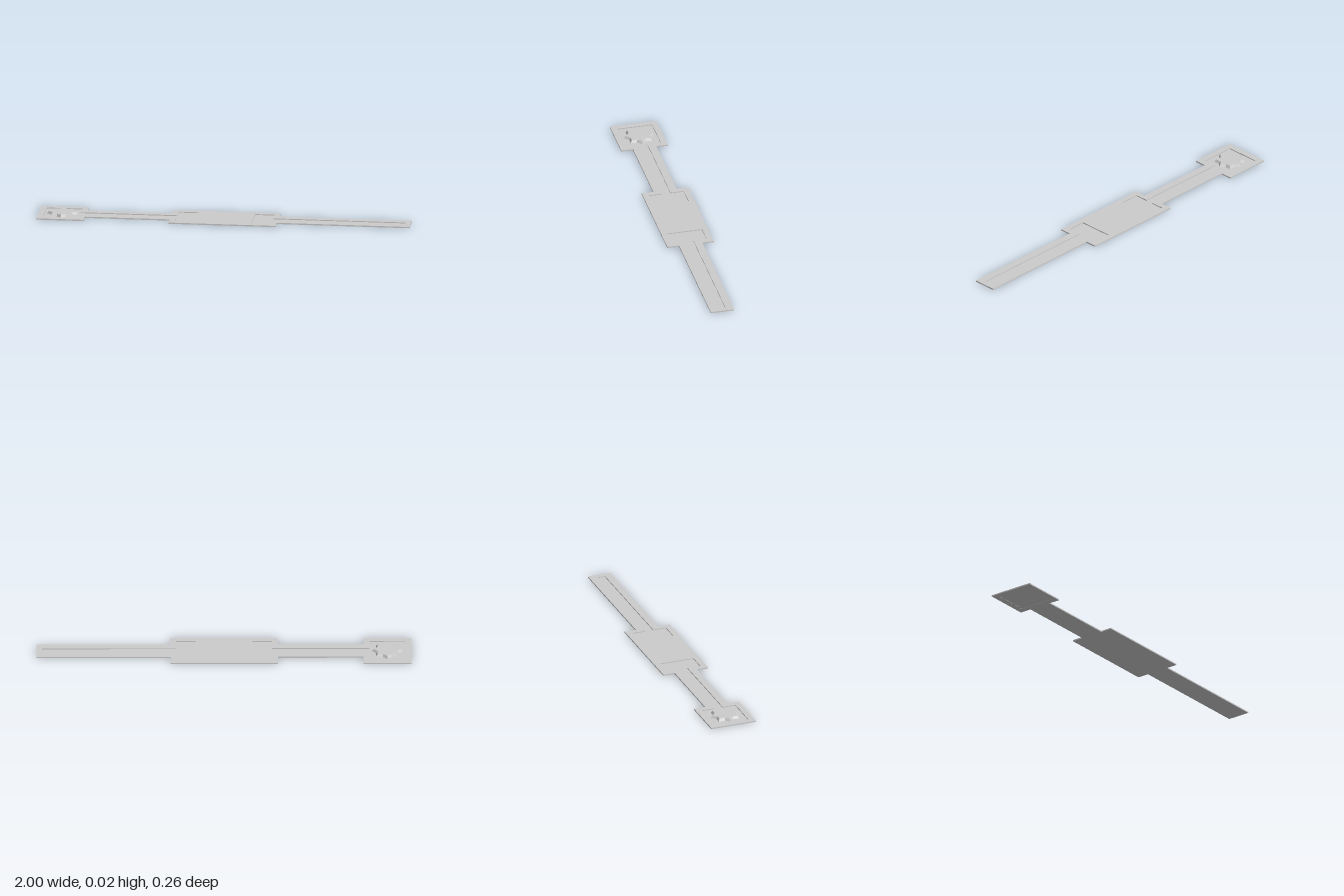
import * as THREE from 'three';

const MAT = new THREE.MeshStandardMaterial({ color: 0xcccccc, flatShading: true });
const FLOOR = 0.002, TOP = 0.007, STAR_TOP = 0.016;
const STAR_X = -0.872, RECESS = 0.096, GROOVE = 0.023;

// Steps [x0, x1, halfWidth] along x become a closed outline symmetric in z.
function steppedOutline(steps) {
  const side = steps.flatMap(([x0, x1, h]) => [[x0, h], [x1, h]]);
  const mirrored = side.map(([x, h]) => [x, -h]);
  return [...mirrored, ...side.reverse()].map(([x, z]) => new THREE.Vector2(x, z));
}

// Flat slab lying on the ground plane between heights y0 and y1.
function slab(name, outline, holes, y0, y1) {
  const shape = new THREE.Shape(outline);
  shape.holes = holes.map((h) => new THREE.Path(h));
  const geo = new THREE.ExtrudeGeometry(shape, { depth: y1 - y0, bevelEnabled: false });
  geo.rotateX(-Math.PI / 2).translate(0, y0, 0);
  const mesh = new THREE.Mesh(geo, MAT);
  mesh.name = name;
  return mesh;
}

// Eight-pointed star with sloping sides, made from a bottom and a top ring.
function starBoss(rBottom, rTop, height) {
  const pos = [];
  const point = (i, r, y) => {
    const a = (i * Math.PI) / 8;
    const rad = i % 2 ? r * 0.765 : r;
    return [rad * Math.cos(a), y, rad * Math.sin(a)];
  };
  for (let i = 0; i < 16; i++) {
    const a = point(i, rBottom, 0), b = point(i + 1, rBottom, 0);
    const c = point(i, rTop, height), d = point(i + 1, rTop, height);
    pos.push(...a, ...c, ...b, ...b, ...c, ...d);
    pos.push(0, height, 0, ...d, ...c);
  }
  const geo = new THREE.BufferGeometry();
  geo.setAttribute('position', new THREE.Float32BufferAttribute(pos, 3));
  geo.computeVertexNormals();
  const mesh = new THREE.Mesh(geo, MAT);
  mesh.name = 'starBoss';
  return mesh;
}

export function createModel() {
  const group = new THREE.Group();
  group.name = 'inlaidStrip';

  // End plate, arm, centre plate, arm
  const outline = steppedOutline([
    [-1, -0.744, 0.128], [-0.744, -0.287, 0.064],
    [-0.287, 0.287, 0.128], [0.287, 1, 0.064],
  ]);
  const x0 = STAR_X - RECESS, x1 = STAR_X + RECESS;

  // Recesses joined by the grooves of the arms
  const rightOfModel = steppedOutline([
    [x0, x1, RECESS], [x1, -0.257, GROOVE], [-0.257, -0.152, RECESS],
  ]);
  const leftOfModel = steppedOutline([[0.152, 0.257, RECESS], [0.257, 0.972, GROOVE]]);
  group.add(slab('plateTop', outline, [rightOfModel, leftOfModel], FLOOR, TOP));

  // Thin base, with a shallow square set into its underside below the star
  const square = steppedOutline([[x0, x1, RECESS]]);
  group.add(slab('plateBase', outline, [square], 0, FLOOR));
  group.add(slab('starPanel', square, [], 0.001, FLOOR));

  // Raised star in the end plate
  const star = starBoss(0.084, 0.073, STAR_TOP - FLOOR);
  star.position.set(STAR_X, FLOOR, 0);
  group.add(star);

  return group;
}
